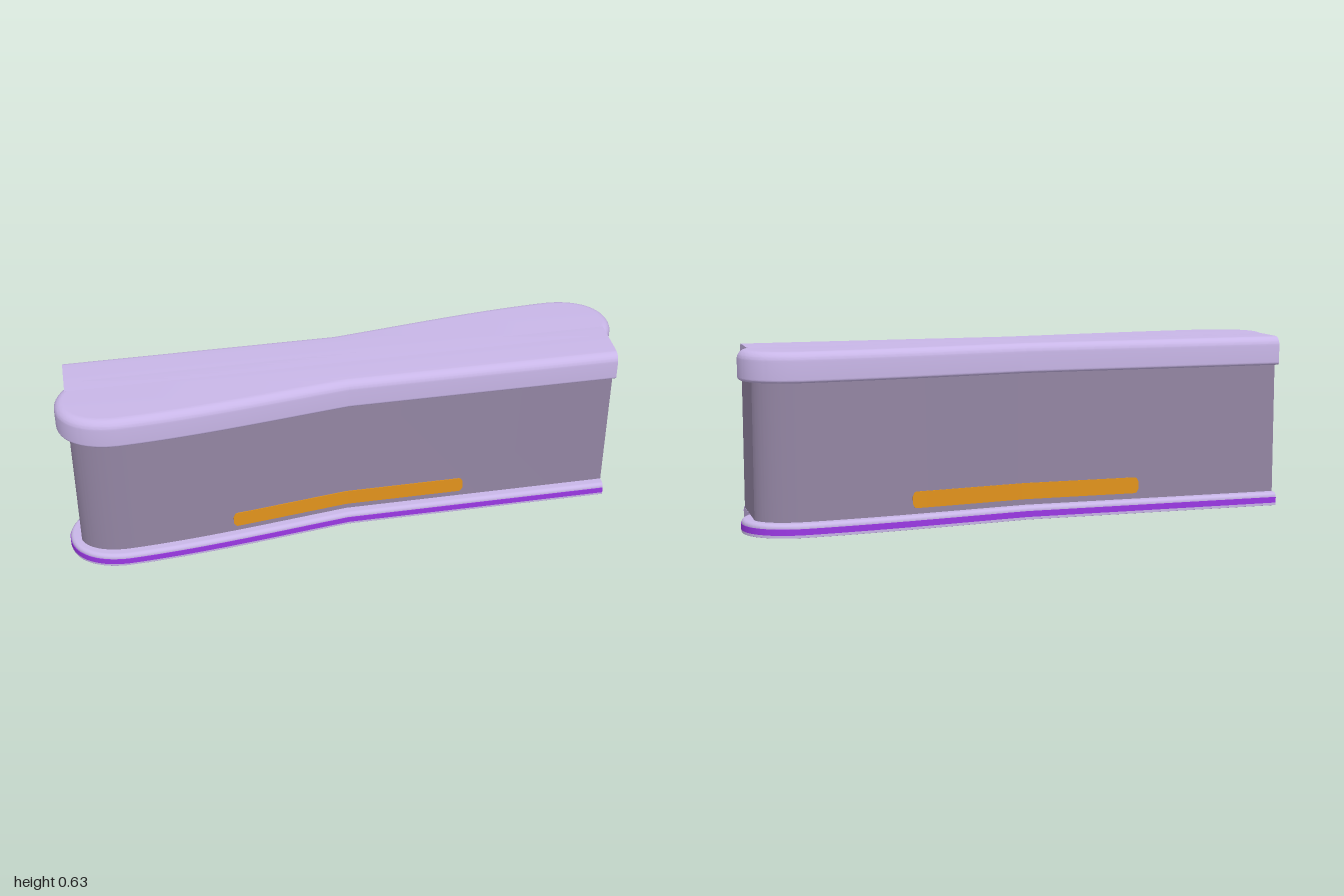
import * as THREE from 'three';
import { toCreasedNormals } from 'three/addons/utils/BufferGeometryUtils.js';

const END = 0.96, CURVE_X = 0.8;

// Front edge: straight on the +x half, gently bulging on the -x half
const bulge = (x, z) => {
  const t = Math.min(1, Math.max(0, -x / CURVE_X)), u = 1 - t;
  return u * u * u * z[0] + 3 * u * u * t * z[1] + 3 * u * t * t * z[2] + t * t * t * z[3];
};
const BODY_Z = [0.12, 0.153, 0.197, 0.205];
const SLAB_Z = [0.157, 0.19, 0.234, 0.242];

function edgePoints(z, lobes) {
  const path = new THREE.CurvePath();
  path.add(new THREE.CubicBezierCurve(
    new THREE.Vector2(0, z[0]), new THREE.Vector2(-CURVE_X / 3, z[1]),
    new THREE.Vector2(-CURVE_X * 2 / 3, z[2]), new THREE.Vector2(-CURVE_X, z[3])));
  let from = new THREE.Vector2(-CURVE_X, z[3]);
  for (const [a, b, c, d, e, f] of lobes) {
    const to = new THREE.Vector2(e, f);
    path.add(new THREE.CubicBezierCurve(from, new THREE.Vector2(a, b), new THREE.Vector2(c, d), to));
    from = to;
  }
  return [new THREE.Vector2(END, z[0]), ...path.getPoints(28)];
}
const slabEdge = edgePoints(SLAB_Z, [
  [-0.92, 0.242, -1, 0.18, -1, 0.085],
  [-1, 0.03, -0.96, -0.02, -0.91, -0.05]]);
const bodyEdge = edgePoints(BODY_Z, [[-0.89, 0.205, -0.95, 0.17, -END, 0.12]]);

// Moves the edge inwards by d, keeping the flat end in place
function inset(pts, d) {
  const n = pts.length - 1;
  return pts.map((p, i) => {
    const t = pts[Math.min(i + 1, n)].clone().sub(pts[Math.max(i - 1, 0)]).normalize();
    return new THREE.Vector2(i === 0 ? p.x : p.x - t.y * d, p.y + t.x * d);
  });
}

// Solid through stacked outlines, each ring { y, pts }; a hollow one has no
// floor and no wall along the seam between the two halves
function loft(rings, hollow = false) {
  const pos = [], idx = [], n = rings[0].pts.length;
  for (const r of rings) for (const p of r.pts) pos.push(p.x, r.y, p.y);
  for (let k = 0; k < rings.length - 1; k++) {
    for (let i = 0; i < n; i++) {
      if (hollow && i === n - 2) continue;
      const a = k * n + i, b = k * n + (i + 1) % n;
      idx.push(a, a + n, b + n, a, b + n, b);
    }
  }
  const cap = (k, up) => {
    const pts = rings[k].pts;
    for (const [a, b, c] of THREE.ShapeUtils.triangulateShape(pts.slice(), [])) {
      const facesUp = THREE.ShapeUtils.area([pts[a], pts[b], pts[c]]) < 0;
      const o = k * n;
      if (facesUp === up) idx.push(o + a, o + b, o + c);
      else idx.push(o + a, o + c, o + b);
    }
  };
  if (!hollow) cap(0, false);
  cap(rings.length - 1, true);
  const g = new THREE.BufferGeometry();
  g.setAttribute('position', new THREE.Float32BufferAttribute(pos, 3));
  g.setIndex(idx);
  return toCreasedNormals(g, 0.13);
}

// Half of a slab, its outer edge set in by d, with rounded rims
function halfSlab(y0, y1, rLow, rHigh, d, hollow) {
  const rings = [], steps = 14;
  const arc = (r, y, from) => {
    for (let i = 0; i <= steps; i++) {
      const a = from + (i / steps) * Math.PI / 2;
      const pts = inset(slabEdge, d + r * (1 - Math.cos(a)));
      pts.push(new THREE.Vector2(END, -0.03));
      rings.push({ y: y + r * Math.sin(a), pts });
    }
  };
  arc(rLow, y0 + rLow, -Math.PI / 2);
  arc(rHigh, y1 - rHigh, 0);
  return loft(rings, hollow);
}

// Thin band that follows the outer edge of the base
function edgeBand(y0, y1) {
  const pts = [...inset(slabEdge, 0.001), ...inset(slabEdge, 0.005).reverse()];
  return loft([{ y: y0, pts }, { y: y1, pts }]);
}

// Thin round-cornered strip bent along the body front
function bentStrip(x0, x1, y0, y1, r) {
  const g = new THREE.BoxGeometry(1, 1, 0.005, 120, 1, 1), p = g.attributes.position;
  for (let i = 0; i < p.count; i++) {
    const x = x0 + (p.getX(i) + 0.5) * (x1 - x0);
    const e = Math.max(0, r - Math.min(x - x0, x1 - x));
    const cut = r - Math.sqrt(Math.max(0, r * r - e * e));
    p.setXYZ(i, x, p.getY(i) > 0 ? y1 - cut : y0 + cut, bulge(x, BODY_Z) + p.getZ(i));
  }
  g.computeVertexNormals();
  return g;
}

export function createModel() {
  const mat = (name, color, side = THREE.FrontSide) =>
    Object.assign(new THREE.MeshStandardMaterial({ color, side }), { name });
  const lavender = mat('lavender', 0xc8b6e7, THREE.DoubleSide);
  const greyMauve = mat('greyMauve', 0x9385a3);
  const violet = mat('violet', 0x9b38e4);
  const amber = mat('amber', 0xe2931c);

  const model = new THREE.Group();
  model.name = 'curvedCounter';
  const add = (parent, name, geometry, material) => {
    const m = new THREE.Mesh(geometry, material);
    m.name = name;
    parent.add(m);
  };

  // Upright body, the same when turned half way round
  const outline = [...bodyEdge.slice(0, -1), ...bodyEdge.slice(0, -1).map(p => p.clone().negate())];
  add(model, 'body', loft([{ y: 0.0475, pts: outline }, { y: 0.54, pts: outline }]), greyMauve);

  // Core inside the hollow base, with the stripe along its long sides
  add(model, 'baseCore', new THREE.BoxGeometry(1.82, 0.046, 0.2).translate(0, 0.023, 0), lavender);
  add(model, 'coreStripe', new THREE.BoxGeometry(1.818, 0.021, 0.204).translate(0, 0.0205, 0), violet);

  // Two matching halves of top, base and trim
  const parts = [
    ['top', halfSlab(0.522, 0.626, 0.012, 0.032, 0, false), lavender],
    ['base', halfSlab(0, 0.047, 0.001, 0.014, 0.003, true), lavender],
    ['baseStripe', edgeBand(0.01, 0.031), violet],
    ['accentStrip', bentStrip(-0.42, 0.43, 0.068, 0.126, 0.016), amber],
  ];
  for (const side of ['front', 'back']) {
    const half = new THREE.Group();
    half.name = side + 'Half';
    for (const [name, geometry, material] of parts) add(half, name, geometry, material);
    if (side === 'back') half.rotation.y = Math.PI;
    model.add(half);
  }
  return model;
}
